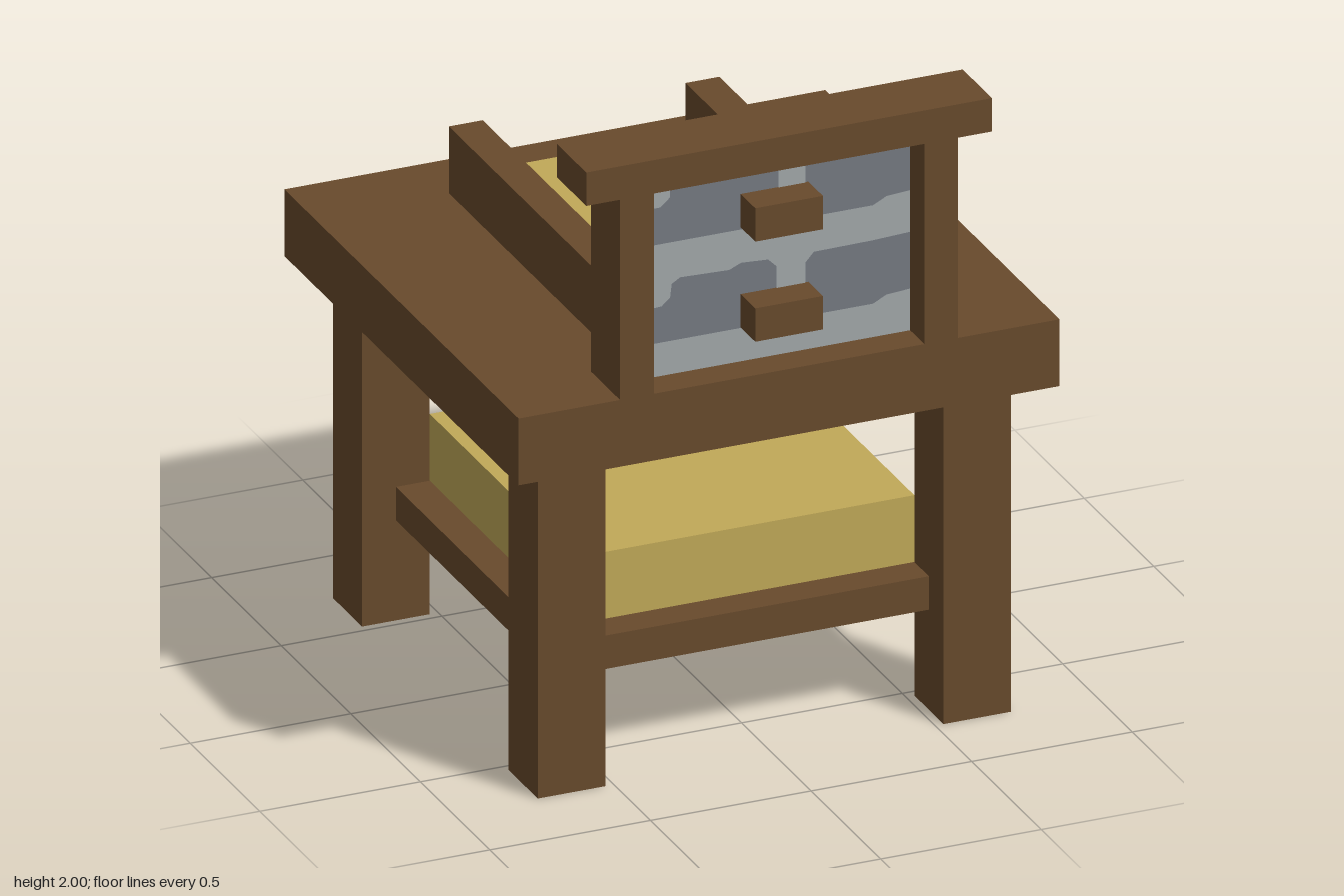
import * as THREE from 'three';

const U = 2 / 19; // one grid block

const wood = new THREE.MeshStandardMaterial({ color: 0x684a2c });
wood.name = 'wood';
const straw = new THREE.MeshStandardMaterial({ color: 0xc1a958 });
straw.name = 'straw';
const darkStone = new THREE.MeshStandardMaterial({ color: 0x757a81 });
darkStone.name = 'darkStone';
const lightStone = new THREE.MeshStandardMaterial({ color: 0xa2a8aa });
lightStone.name = 'lightStone';

export function createModel() {
  const model = new THREE.Group();
  model.name = 'bedStand';

  // Box between two corners, given in blocks
  const box = (name, material, [x0, y0, z0], [x1, y1, z1]) => {
    const geometry = new THREE.BoxGeometry((x1 - x0) * U, (y1 - y0) * U, (z1 - z0) * U);
    const mesh = new THREE.Mesh(geometry, material);
    mesh.position.set((x0 + x1) / 2 * U, (y0 + y1) / 2 * U, (z0 + z1) / 2 * U);
    mesh.name = name;
    model.add(mesh);
  };

  // Flat painted patch on the stone panel, outline in blocks
  const patch = (name, points, z, back = false) => {
    const shape = new THREE.Shape(points.map(([x, y]) => new THREE.Vector2(x * U, y * U)));
    const mesh = new THREE.Mesh(new THREE.ShapeGeometry(shape), lightStone);
    mesh.position.z = z;
    if (back) mesh.rotation.y = Math.PI;
    mesh.name = name;
    model.add(mesh);
  };

  // Table: legs, top, lower shelf with its straw
  for (const x of [-6, 6]) {
    for (const z of [-6, 6]) box('leg', wood, [x - 1, 0, z - 1], [x + 1, 10, z + 1]);
  }
  box('tableTop', wood, [-8, 10, -8], [8, 12, 8]);
  box('lowerShelf', wood, [-6, 3, -6], [6, 4, 6]);
  box('lowerStraw', straw, [-5, 4, -5], [5, 6, 5]);

  // Trough on the top
  for (const x of [-3.5, 3.5]) box('sideRail', wood, [x - 0.5, 12, -6], [x + 0.5, 14, 6]);
  box('upperStraw', straw, [-3, 12, -5], [3, 13, 6]);

  // Headboard
  for (const x of [-4.5, 4.5]) box('headboardPost', wood, [x - 0.5, 12, 6], [x + 0.5, 18, 8]);
  box('headboardBeam', wood, [-6, 18, 6], [6, 19, 8]);
  box('stonePanel', darkStone, [-4, 12, 6], [4, 18, 7]);
  for (const y of [13, 16]) box('peg', wood, [-1, y, 7], [1, y + 1, 8]);

  // Light mortar on the front
  const front = 7 * U + 0.003;
  patch('mortarCorner', [[-4, 17.05], [-3.4, 17.05], [-3.1, 17.3], [-3.1, 18], [-4, 18]], front);
  patch('mortarUpperJoint', [[0.1, 15.95], [0.9, 15.95], [0.9, 18], [0.1, 18]], front);
  patch('mortarMiddle', [
    [-4, 14.05], [-3.35, 14.08], [-3.1, 14.3], [-3.05, 14.7], [-2.8, 14.85], [-1.35, 14.8],
    [-1, 14.95], [-0.2, 14.9], [0.05, 14.65], [0.05, 13], [0.9, 13], [0.9, 14.6], [1.15, 14.88],
    [2.9, 14.9], [4, 14.95], [4, 16.2], [3.3, 16.15], [2.9, 15.95], [-4, 15.95],
  ], front);
  patch('mortarBottom', [[-4, 12], [4, 12], [4, 13.25], [3.3, 13.2], [2.9, 13], [-4, 13]], front);

  // Light mortar on the back
  patch('mortarBack', [
    [-4, 15.2], [-2.8, 15.35], [-1.2, 15.3], [-0.2, 14.95], [0.8, 14.95], [1.7, 15.2], [4, 15.1],
    [4, 16.1], [2.3, 15.95], [1.2, 15.95], [0.3, 15.7], [-0.6, 16], [-1.7, 16.1], [-2.8, 15.9], [-4, 16.05],
  ], 6 * U - 0.003, true);

  return model;
}
